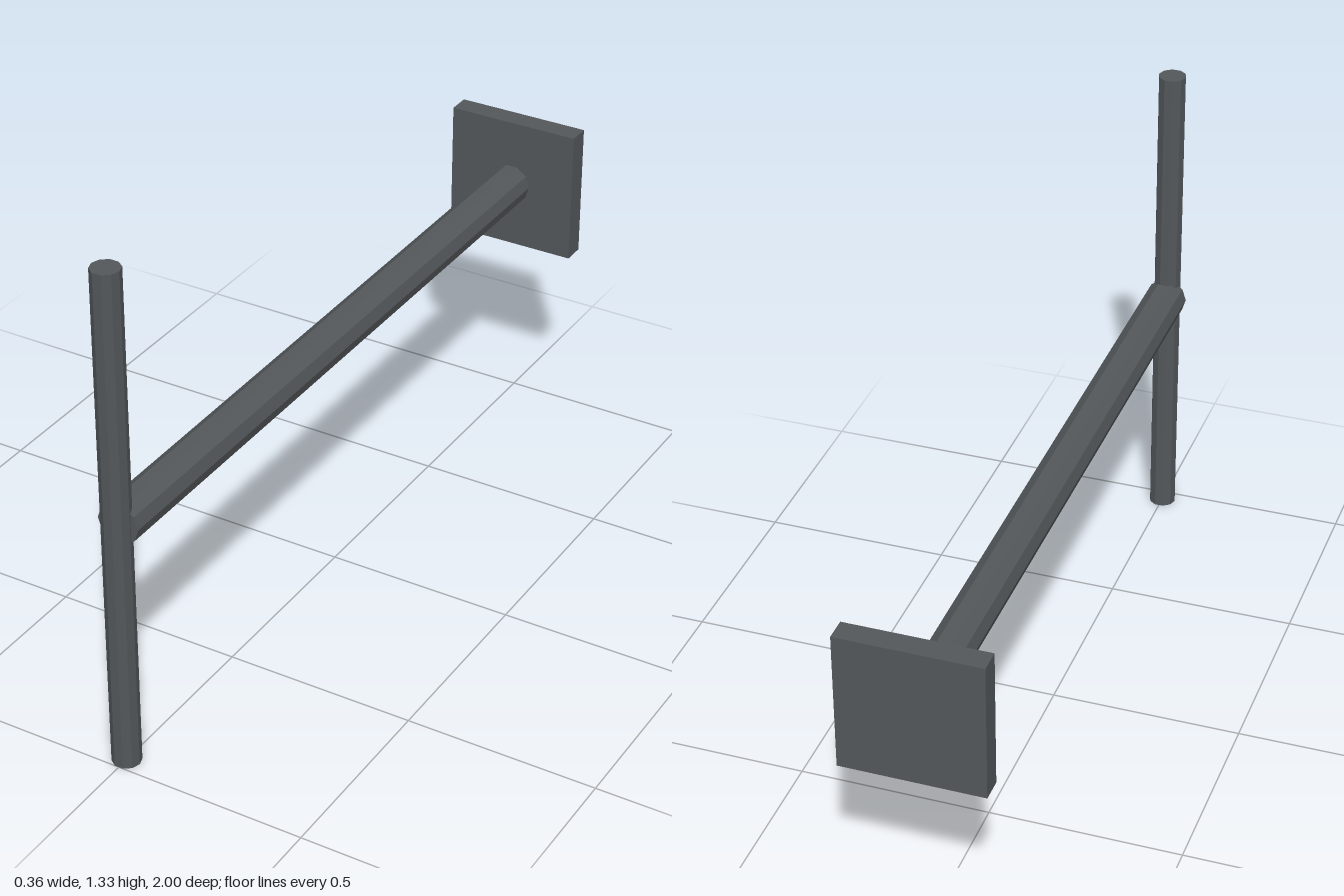
import * as THREE from 'three';

const SIDES = 10;
const ARM_Y = 0.668;

export function createModel() {
  const group = new THREE.Group();
  const darkSteel = new THREE.MeshStandardMaterial({ color: 0x53575a, flatShading: true });
  darkSteel.name = 'darkSteel';

  const add = (name, geometry, x, y, z) => {
    const mesh = new THREE.Mesh(geometry, darkSteel);
    mesh.name = name;
    mesh.position.set(x, y, z);
    group.add(mesh);
  };

  // Ten-sided rod with a corner on the +x side
  const rod = (radius, length) =>
    new THREE.CylinderGeometry(radius, radius, length, SIDES, 1, false, Math.PI / 2);

  // Upright bar at the front
  add('uprightBar', rod(0.0365, 1.333), 0, 0.6665, 0.9653);

  // Horizontal arm, from inside the bar to the wall plate
  add('arm', rod(0.0545, 1.9).rotateX(Math.PI / 2), 0, ARM_Y, 0.01);

  // Square wall plate at the back
  add('wallPlate', new THREE.BoxGeometry(0.364, 0.364, 0.06), 0, ARM_Y, -0.97);

  return group;
}
